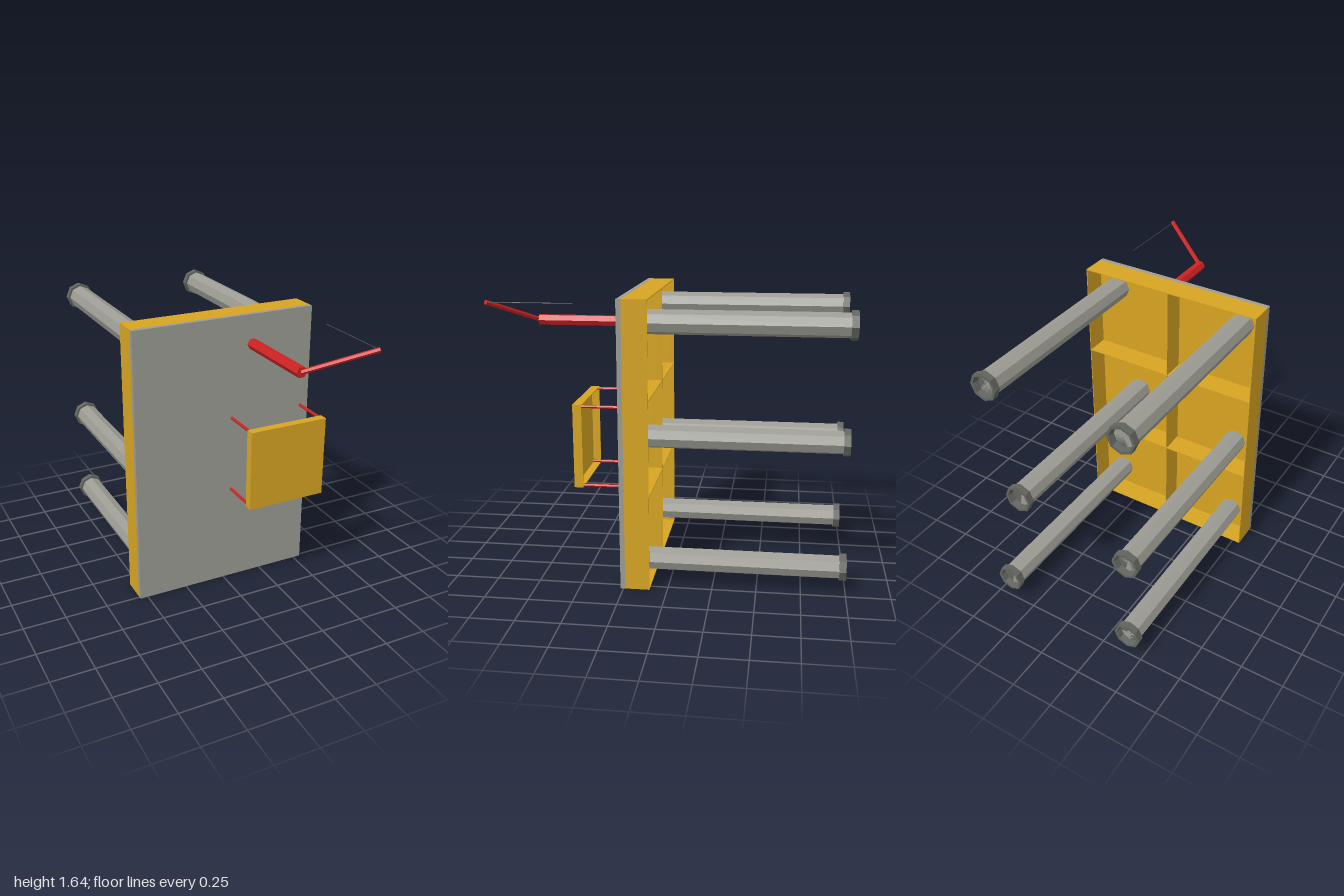
import * as THREE from 'three';

const mat = (color) => new THREE.MeshStandardMaterial({ color, flatShading: true, side: THREE.DoubleSide });

export function createModel() {
  const model = new THREE.Group();
  const yellow = mat(0xd6a422), grey = mat(0x9c9c94), darkGrey = mat(0x62645f);
  const red = mat(0xcc2222), lineGrey = mat(0x444444);

  const add = (name, geometry, material, parent = model) => {
    const mesh = new THREE.Mesh(geometry, material);
    mesh.name = name;
    parent.add(mesh);
    return mesh;
  };
  // Box given by its minimum and maximum corners
  const box = (name, [x0, y0, z0], [x1, y1, z1], material, parent) =>
    add(name, new THREE.BoxGeometry(x1 - x0, y1 - y0, z1 - z0), material, parent)
      .position.set((x0 + x1) / 2, (y0 + y1) / 2, (z0 + z1) / 2);
  // Straight prism between two points
  const rod = (name, a, b, radius, sides, material, parent) => {
    const from = new THREE.Vector3(...a), to = new THREE.Vector3(...b);
    const dir = to.clone().sub(from);
    const geometry = new THREE.CylinderGeometry(radius, radius, dir.length(), sides);
    geometry.rotateY(Math.PI / 2);
    const mesh = add(name, geometry, material, parent);
    mesh.position.copy(from).add(to).multiplyScalar(0.5);
    mesh.quaternion.setFromUnitVectors(new THREE.Vector3(0, 1, 0), dir.normalize());
  };
  // Thin-walled tray, closed at the front and open at the back
  const tray = (name, x0, x1, y0, y1, z0, z1, t) => {
    const group = new THREE.Group();
    group.name = name;
    model.add(group);
    box('trayFloor', [x0, y0, z1 - t], [x1, y1, z1], yellow, group);
    box('leftWall', [x1 - t, y0, z0], [x1, y1, z1 - t], yellow, group);
    box('rightWall', [x0, y0, z0], [x0 + t, y1, z1 - t], yellow, group);
    box('topWall', [x0 + t, y1 - t, z0], [x1 - t, y1, z1 - t], yellow, group);
    box('bottomWall', [x0 + t, y0, z0], [x1 - t, y0 + t, z1 - t], yellow, group);
    return group;
  };

  // Deck panel with the ribbed frame behind it
  box('deckPanel', [-0.547, 0, 0.24], [0.547, 1.645, 0.267], grey);
  const frame = tray('deckFrame', -0.547, 0.547, 0, 1.645, 0.1, 0.24, 0.005);
  box('lengthRib', [-0.0025, 0.005, 0.1], [0.0025, 1.64, 0.235], yellow, frame);
  for (const y of [0.55, 1.097])
    box('crossRib', [-0.542, y - 0.0025, 0.1], [0.542, y + 0.0025, 0.235], yellow, frame);

  // Eight-sided posts with a recessed flange at the far end
  const flangeProfile = [[0, 0.965], [0.06, 0.965], [0.066, 1], [0.081, 1], [0.081, 0.962], [0.068, 0.962]]
    .map(([r, y]) => new THREE.Vector2(r, y));
  const posts = [
    [-0.41, 1.51], [-0.41, 0.69], [-0.41, 0.14],
    [0.41, 1.51], [0.27, 0.83], [0.41, 0.14],
  ];
  for (const [x, y] of posts) {
    const post = new THREE.Group();
    post.name = 'post';
    post.position.set(x, y, 0);
    model.add(post);
    rod('postShaft', [0, 0, 0.235], [0, 0, -0.965], 0.068, 8, grey, post);
    add('postFlange', new THREE.LatheGeometry(flangeProfile, 8), darkGrey, post).rotation.x = -Math.PI / 2;
  }

  // Small raised table on four thin legs
  tray('tableTop', 0.033, 0.51, 0.585, 1.06, 0.475, 0.525, 0.005);
  for (const x of [0.046, 0.497])
    for (const y of [0.597, 1.05])
      rod('tableLeg', [x, y, 0.26], [x, y, 0.52], 0.009, 6, red);

  // Bent mast, arm and hanging line
  rod('mast', [0.168, 1.475, 0.26], [0.168, 1.475, 0.785], 0.032, 6, red);
  rod('arm', [0.168, 1.475, 0.78], [0.492, 1.611, 0.988], 0.014, 6, red);
  rod('hangingLine', [0.488, 1.61, 0.985], [0.488, 1.61, 0.51], 0.003, 4, lineGrey);

  return model;
}
